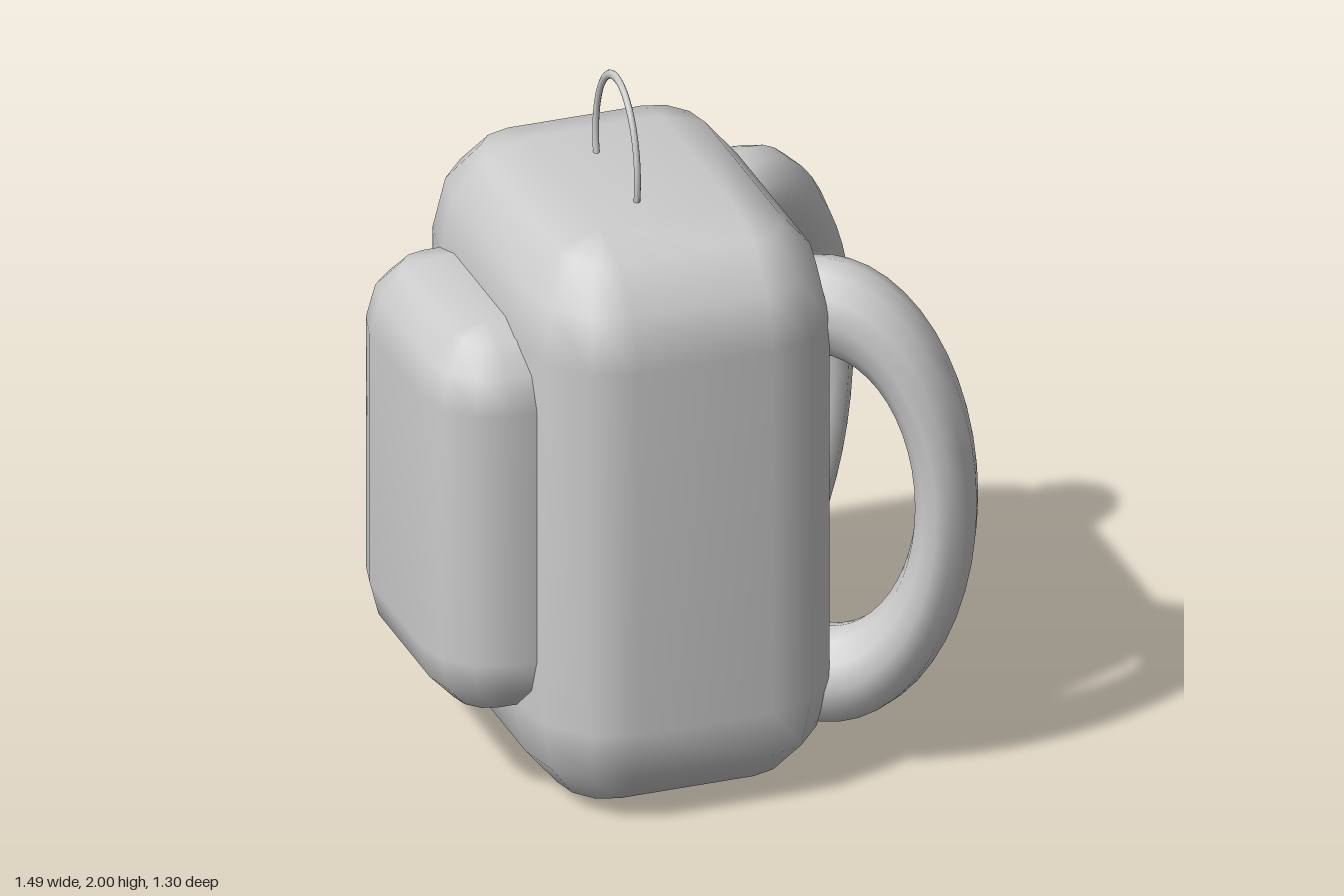
import * as THREE from 'three';
import { mergeVertices } from 'three/addons/utils/BufferGeometryUtils.js';

const material = new THREE.MeshStandardMaterial({ color: 0xcccccc });

// Box from min to max corner, rounded by three facets per edge with radii r = [rx, ry, rz]
function roundedBox(min, max, r) {
  const centre = min.map((m, k) => (m + max[k]) / 2);
  const inner = min.map((m, k) => (max[k] - m) / 2 - r[k]);
  const step = Math.PI / 6;
  const positions = [], index = [];
  for (let j = 0; j < 8; j++) {
    const upper = j < 4;
    const phi = (upper ? j : j - 1) * step;
    for (let i = 0; i < 16; i++) {
      const q = Math.floor(i / 4);
      const theta = (i - q) * step;
      const sx = q === 0 || q === 3 ? 1 : -1;
      const sz = q < 2 ? 1 : -1;
      positions.push(
        centre[0] + sx * inner[0] + r[0] * Math.sin(phi) * Math.cos(theta),
        centre[1] + (upper ? 1 : -1) * inner[1] + r[1] * Math.cos(phi),
        centre[2] + sz * inner[2] + r[2] * Math.sin(phi) * Math.sin(theta)
      );
      if (j < 7) {
        const a = j * 16 + i, b = j * 16 + (i + 1) % 16;
        index.push(a, b, a + 16, b, b + 16, a + 16);
      }
    }
  }
  // Flat top and bottom
  index.push(0, 8, 4, 0, 12, 8);
  index.push(112, 116, 120, 112, 120, 124);
  let geometry = new THREE.BufferGeometry();
  geometry.setAttribute('position', new THREE.Float32BufferAttribute(positions, 3));
  geometry.setIndex(index);
  geometry = mergeVertices(geometry, 1e-5);
  geometry.computeVertexNormals();
  return geometry;
}

export function createModel() {
  const model = new THREE.Group();
  model.name = 'backpack';
  const add = (name, geometry) => {
    const mesh = new THREE.Mesh(geometry, material);
    mesh.name = name;
    model.add(mesh);
    return mesh;
  };

  // Main bag and its pockets
  add('bag', roundedBox([-0.51, 0, -0.565], [0.375, 1.69, 0.61], [0.25, 0.3, 0.3]));
  add('largePocket', roundedBox([-0.745, 0.275, -0.375], [-0.25, 1.425, 0.425], [0.19, 0.2, 0.2]));
  add('smallPocket', roundedBox([-0.21, 0.295, -0.657], [0.09, 0.72, -0.48], [0.06, 0.07, 0.06]));

  // Shoulder straps: stretched rings sunk into the bag, splayed outwards
  for (const side of [1, -1]) {
    const strap = new THREE.TorusGeometry(1, 0.25, 12, 48);
    strap.scale(0.336, 0.555, 0.492);
    strap.rotateY(-side * 0.588);
    strap.translate(0.371, 0.815, 0.01 + side * 0.339);
    add(side > 0 ? 'frontStrap' : 'backStrap', strap);
  }

  // Thin carrying loop on top
  const loop = new THREE.TorusGeometry(0.164, 0.009, 10, 40, Math.PI * 1.3);
  loop.rotateZ(-Math.PI * 0.15);
  loop.scale(1, 1.45, 1);
  loop.rotateY(Math.PI / 2);
  loop.translate(-0.114, 1.75, 0.037);
  add('topLoop', loop);

  return model;
}
